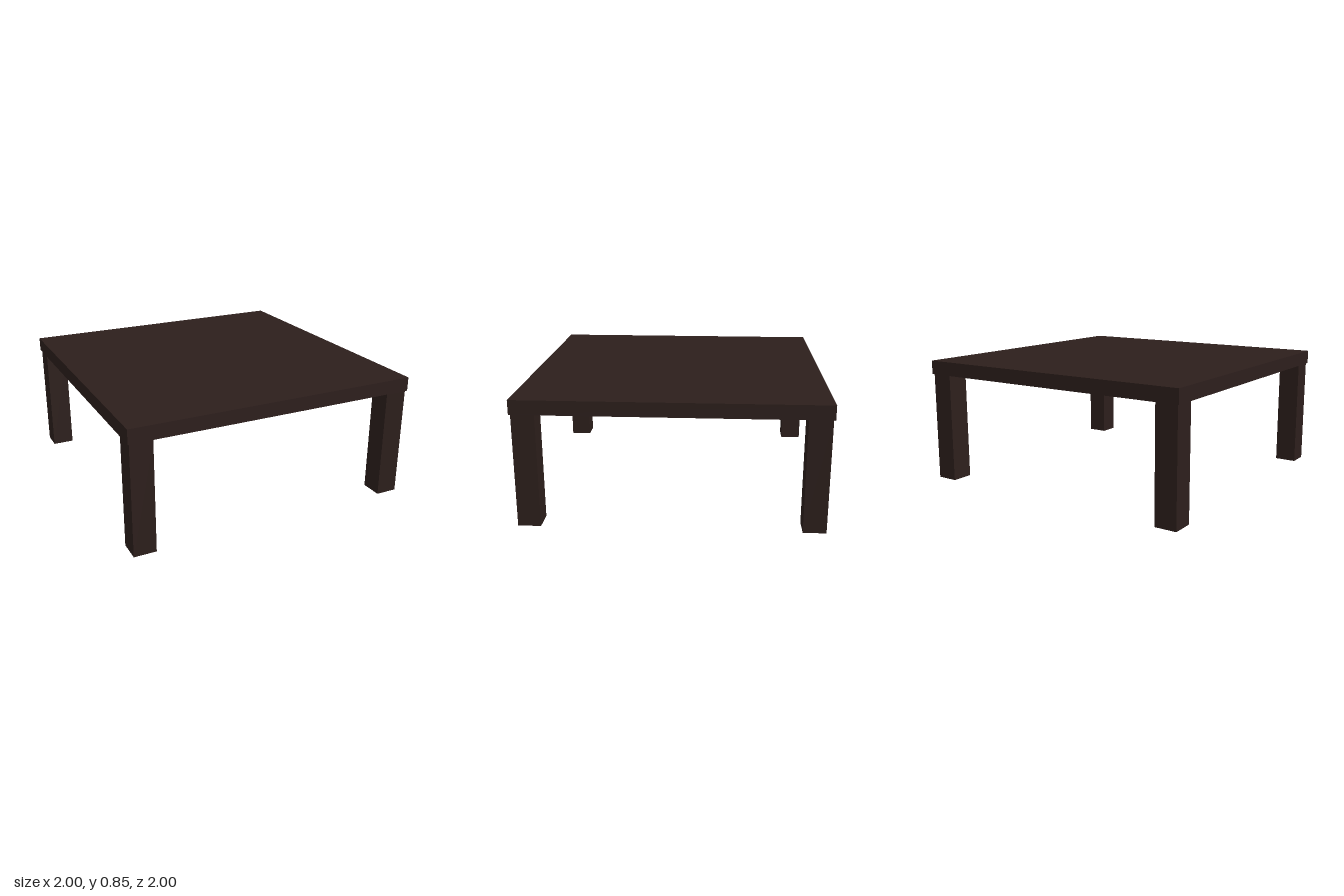
import * as THREE from 'three';

const HEIGHT = 0.85;
const TOP_THICKNESS = 0.095;
const LEG_WIDTH = 0.15;
const LEG_CENTRE = 0.915;

export function createModel() {
  const table = new THREE.Group();
  table.name = 'coffeeTable';
  const wood = new THREE.MeshStandardMaterial({ color: 0x2d1f1c });

  // Square slab top
  const top = new THREE.Mesh(new THREE.BoxGeometry(2, TOP_THICKNESS, 2), wood);
  top.name = 'tableTop';
  top.position.y = HEIGHT - TOP_THICKNESS / 2;
  table.add(top);

  // Four square legs, set slightly in from the edges
  const legHeight = HEIGHT - TOP_THICKNESS;
  const legGeometry = new THREE.BoxGeometry(LEG_WIDTH, legHeight, LEG_WIDTH);
  for (const [sideName, x] of [['Left', 1], ['Right', -1]]) {
    for (const [endName, z] of [['front', 1], ['back', -1]]) {
      const leg = new THREE.Mesh(legGeometry, wood);
      leg.name = `${endName}${sideName}Leg`;
      leg.position.set(x * LEG_CENTRE, legHeight / 2, z * LEG_CENTRE);
      table.add(leg);
    }
  }

  return table;
}
